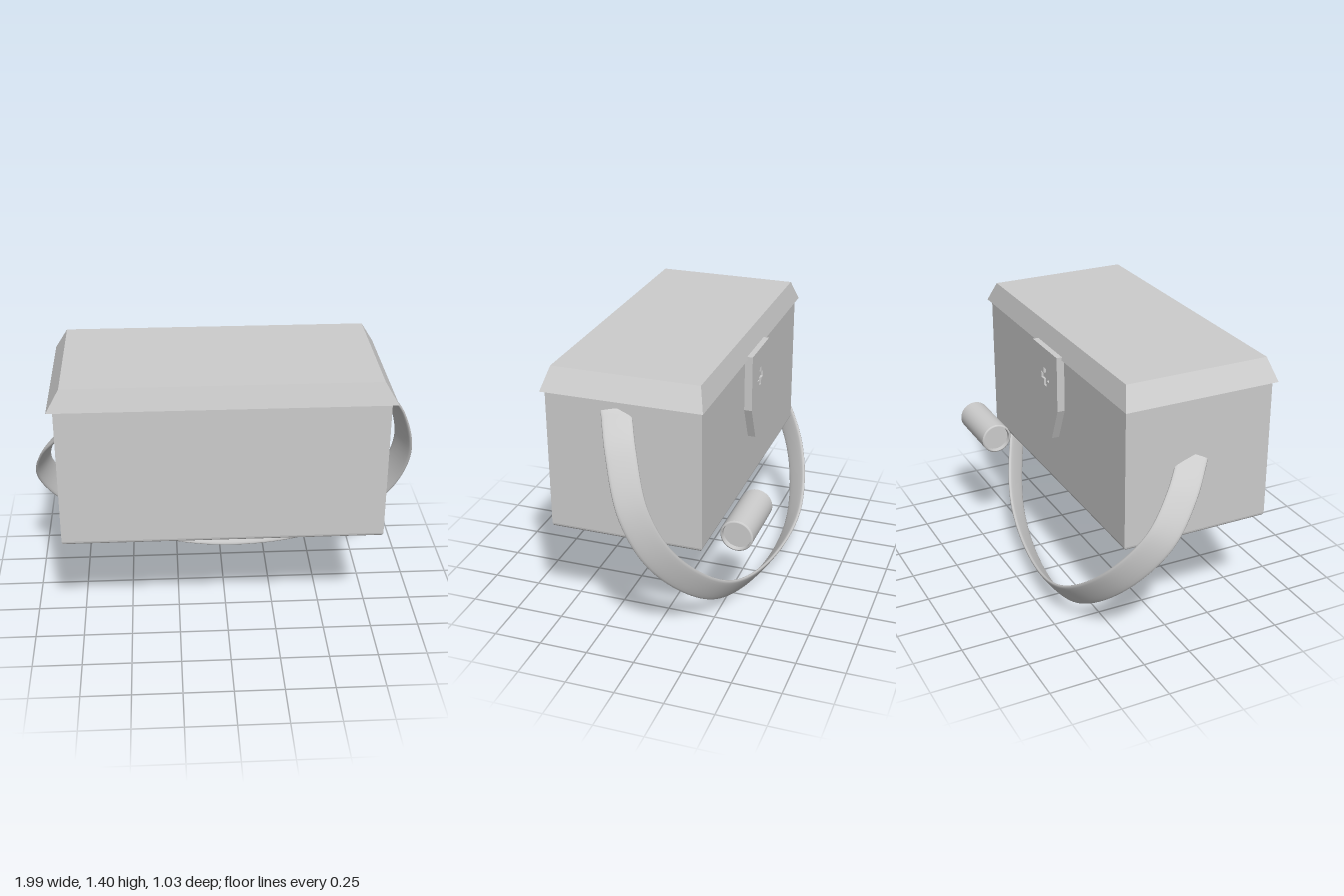
import * as THREE from 'three';

const grey = () => new THREE.MeshStandardMaterial({ color: 0xcccccc });

function addMesh(parent, name, geometry, material = grey()) {
  const mesh = new THREE.Mesh(geometry, material);
  mesh.name = name;
  parent.add(mesh);
  return mesh;
}

// Stack of rectangles [x0, x1, z0, z1, y], bottom to top, with capped ends
function rectLoft(rings) {
  const corners = rings.map(([x0, x1, z0, z1, y]) => [[x0, y, z1], [x1, y, z1], [x1, y, z0], [x0, y, z0]]);
  const pos = [];
  const quad = (a, b, c, d) => pos.push(...a, ...b, ...c, ...a, ...c, ...d);
  for (let i = 0; i < corners.length - 1; i++) {
    for (let k = 0; k < 4; k++) {
      const n = (k + 1) % 4;
      quad(corners[i][k], corners[i][n], corners[i + 1][n], corners[i + 1][k]);
    }
  }
  const [a, b, c, d] = corners[0];
  quad(d, c, b, a);
  quad(...corners[corners.length - 1]);
  const g = new THREE.BufferGeometry();
  g.setAttribute('position', new THREE.Float32BufferAttribute(pos, 3));
  g.computeVertexNormals();
  return g;
}

// Band swept along a curve, tilted so its front edge flares outward
function strapGeometry(curve, normal, flare, width, thickness) {
  const steps = 120, sides = 20, pos = [], index = [];
  for (let i = 0; i <= steps; i++) {
    const p = curve.getPointAt(i / steps);
    const t = curve.getTangentAt(i / steps);
    const radial = normal.clone().cross(t).normalize().negate().multiplyScalar(-1);
    const across = radial.clone().multiplyScalar(-flare).addScaledVector(normal, 1);
    // keep the flare pointing away from the middle of the loop
    if (radial.dot(p.clone().sub(new THREE.Vector3(0, 0.75, -0.08))) > 0) across.addScaledVector(radial, 2 * flare);
    across.addScaledVector(t, -across.dot(t)).normalize();
    const up = t.clone().cross(across);
    for (let k = 0; k < sides; k++) {
      const a = (k / sides) * Math.PI * 2;
      const s = Math.sin(a);
      const v = p.clone()
        .addScaledVector(across, Math.cos(a) * width / 2)
        .addScaledVector(up, Math.sign(s) * Math.sqrt(Math.abs(s)) * thickness / 2);
      pos.push(v.x, v.y, v.z);
      if (i < steps) {
        const n = (k + 1) % sides, r = i * sides, q = r + sides;
        index.push(r + k, r + n, q + k, r + n, q + n, q + k);
      }
    }
  }
  // end caps
  for (let k = 1; k < sides - 1; k++) {
    const e = steps * sides;
    index.push(0, k + 1, k, e, e + k, e + k + 1);
  }
  const g = new THREE.BufferGeometry();
  g.setAttribute('position', new THREE.Float32BufferAttribute(pos, 3));
  g.setIndex(index);
  g.computeVertexNormals();
  return g;
}

// Plus-shaped outline centred on (0, y)
function plusPoints(y, arm, half) {
  const pts = [];
  for (let i = 0; i < 4; i++) {
    for (const [u, v] of [[arm, -half], [arm, half], [half, half]]) {
      const c = Math.round(Math.cos(i * Math.PI / 2)), s = Math.round(Math.sin(i * Math.PI / 2));
      pts.push(new THREE.Vector2(u * c - v * s, y + u * s + v * c));
    }
  }
  return pts;
}

export function createModel() {
  const model = new THREE.Group();
  model.name = 'bag';

  // Body with softly rounded bottom edges
  const rings = [];
  const r = 0.022;
  for (let i = 0; i <= 4; i++) {
    const a = (i / 4) * Math.PI / 2;
    const inset = r * (1 - Math.sin(a));
    rings.push([-0.832 + inset, 0.782 - inset, -0.277 + inset, 0.502 - inset, 0.558 + r * (1 - Math.cos(a))]);
  }
  rings.push([-0.832, 0.782, -0.277, 0.502, 1.297]);
  addMesh(model, 'body', rectLoft(rings));

  // Overhanging lid with sloped sides
  addMesh(model, 'lid', rectLoft([
    [-0.863, 0.812, -0.292, 0.515, 1.295],
    [-0.798, 0.745, -0.26, 0.483, 1.405],
  ]));

  // Closing flap with a sunken plus
  const flap = new THREE.Group();
  flap.name = 'flap';
  flap.position.set(-0.025, 0, -0.275);
  flap.rotation.y = Math.PI;
  model.add(flap);
  const outline = [[-0.145, 1.31], [-0.145, 1.02], [-0.07, 0.842], [0.07, 0.842], [0.145, 1.02], [0.145, 1.31]]
    .map(([x, y]) => new THREE.Vector2(x, y));
  const extrude = (shape, depth) => new THREE.ExtrudeGeometry(shape, { depth, bevelEnabled: false });
  const face = new THREE.Shape(outline);
  face.holes.push(new THREE.Path(plusPoints(1.155, 0.048, 0.016)));
  addMesh(flap, 'flapPlate', extrude(face, 0.042));
  addMesh(flap, 'flapPlusFloor', extrude(new THREE.Shape(plusPoints(1.155, 0.048, 0.016)), 0.03));

  // Carrying strap
  const path = new THREE.CatmullRomCurve3([
    [0.775, 1.245, 0.145], [0.89, 1.08, 0.08], [0.955, 0.81, 0], [0.86, 0.515, -0.11],
    [0.5, 0.18, -0.285], [-0.02, 0.066, -0.385], [-0.475, 0.15, -0.41], [-0.81, 0.39, -0.315],
    [-0.955, 0.65, -0.155], [-0.92, 0.84, -0.025], [-0.82, 0.99, 0.09],
  ].map((p) => new THREE.Vector3(...p)));
  addMesh(model, 'strap', strapGeometry(path, new THREE.Vector3(0, -0.42, 0.91).normalize(), 0.54, 0.145, 0.022));

  // Small canister with recessed ends
  const canister = new THREE.Group();
  canister.name = 'canister';
  canister.position.set(0.56, 0.65, -0.432);
  canister.rotation.z = -Math.PI / 2;
  model.add(canister);
  const h = 0.172, R = 0.081, inner = 0.07;
  addMesh(canister, 'canisterWall', new THREE.CylinderGeometry(R, R, 2 * h - 0.012, 48, 1, true));
  for (const side of [1, -1]) {
    const end = new THREE.Group();
    end.name = 'canisterEnd';
    if (side < 0) end.rotation.x = Math.PI;
    canister.add(end);
    const lathe = (pts) => new THREE.LatheGeometry(pts.map((p) => new THREE.Vector2(...p)), 48);
    const two = grey();
    two.side = THREE.DoubleSide;
    addMesh(end, 'canisterRim', lathe([[R, h - 0.006], [R - 0.005, h], [inner + 0.002, h]]), two);
    addMesh(end, 'canisterLip', lathe([[inner + 0.002, h], [inner, h - 0.025]]), two);
    const disc = addMesh(end, 'canisterDisc', new THREE.CircleGeometry(inner, 48));
    disc.rotation.x = -Math.PI / 2;
    disc.position.y = h - 0.025;
  }

  return model;
}
